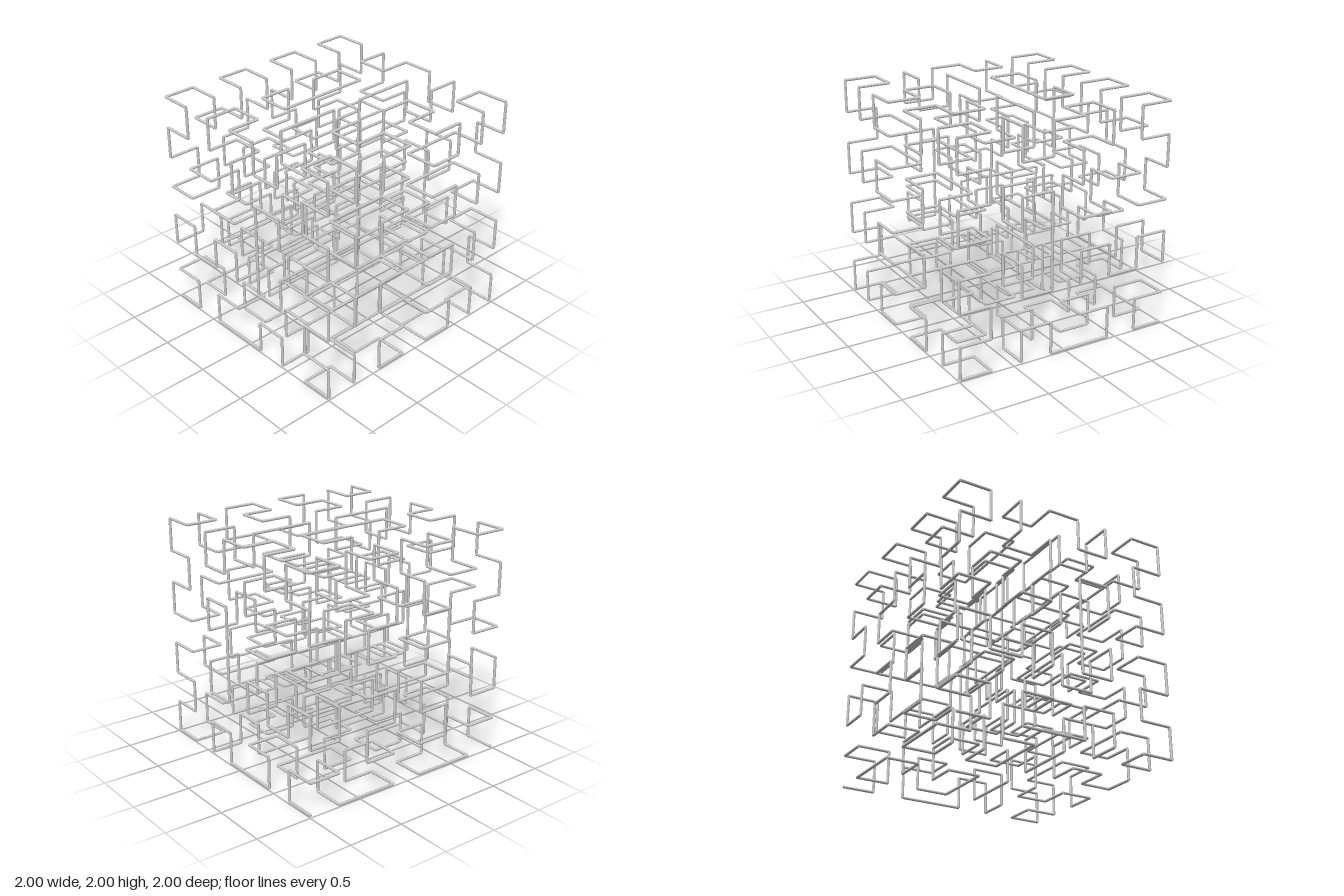
import * as THREE from 'three';
import { mergeGeometries } from 'three/addons/utils/BufferGeometryUtils.js';

const ORDER = 3;
const RADIUS = 0.0125;
const CELLS = 2 ** ORDER;
const STEP = (2 - 2 * RADIUS) / (CELLS - 1);

// Second half of every curve is the first half mirrored along the third axis.
function withMirror(half, size) {
  return half.concat(half.map(([a, b, c]) => [a, b, size - 1 - c]).reverse());
}

// Space-filling curve that starts and ends in the same column, travelling along depth.
// Points are [across, up, depth].
function depthCurve(n) {
  if (n === 0) return [[0, 0, 0]];
  const h = 2 ** (n - 1);
  const P = planeCurve(n - 1), D = depthCurve(n - 1);
  return withMirror([
    ...P.map(([p, q, r]) => [r, q, p]),
    ...P.map(([p, q, r]) => [h + q, r, p]),
    ...P.map(([p, q, r]) => [h + q, h + r, p]),
    ...D.map(([p, q, r]) => [h - 1 - q, 2 * h - 1 - p, r]),
  ], 2 * h);
}

// Space-filling curve that starts and ends at the same depth, travelling in the plane.
// Points are [depth, side, travel].
function planeCurve(n) {
  if (n === 0) return [[0, 0, 0]];
  const h = 2 ** (n - 1);
  const P = planeCurve(n - 1), D = depthCurve(n - 1);
  return withMirror([
    ...D.map(([p, q, r]) => [r, q, p]),
    ...P.map(([p, q, r]) => [h + p, r, q]),
    ...P.map(([p, q, r]) => [h + p, h + q, r]),
    ...D.map(([p, q, r]) => [h - 1 - r, h + p, h - 1 - q]),
  ], 2 * h);
}

// One straight rod between two neighbouring nodes
function rod(from, to) {
  const dir = to.clone().sub(from);
  const turn = new THREE.Quaternion().setFromUnitVectors(
    new THREE.Vector3(0, 1, 0), dir.clone().normalize());
  const middle = from.clone().add(to).multiplyScalar(0.5);
  return new THREE.CylinderGeometry(RADIUS, RADIUS, dir.length(), 8)
    .applyQuaternion(turn)
    .translate(middle.x, middle.y, middle.z);
}

export function createModel() {
  const group = new THREE.Group();
  group.name = 'spaceFillingCurve';
  const material = new THREE.MeshStandardMaterial({ color: 0xcccccc });
  const mid = (CELLS - 1) / 2;

  // Grid nodes in path order, from the front lower corner to the back lower corner
  const nodes = depthCurve(ORDER).map(([a, b, c]) => new THREE.Vector3(
    (a - mid) * STEP, b * STEP + RADIUS, (mid - c) * STEP));

  // One mesh for each eighth of the path
  const run = nodes.length / 8;
  for (let k = 0; k < 8; k++) {
    const rods = [];
    for (let i = k * run; i < (k + 1) * run && i + 1 < nodes.length; i++) {
      rods.push(rod(nodes[i], nodes[i + 1]));
    }
    const mesh = new THREE.Mesh(mergeGeometries(rods), material);
    mesh.name = `pathSection${k + 1}`;
    group.add(mesh);
  }
  return group;
}
